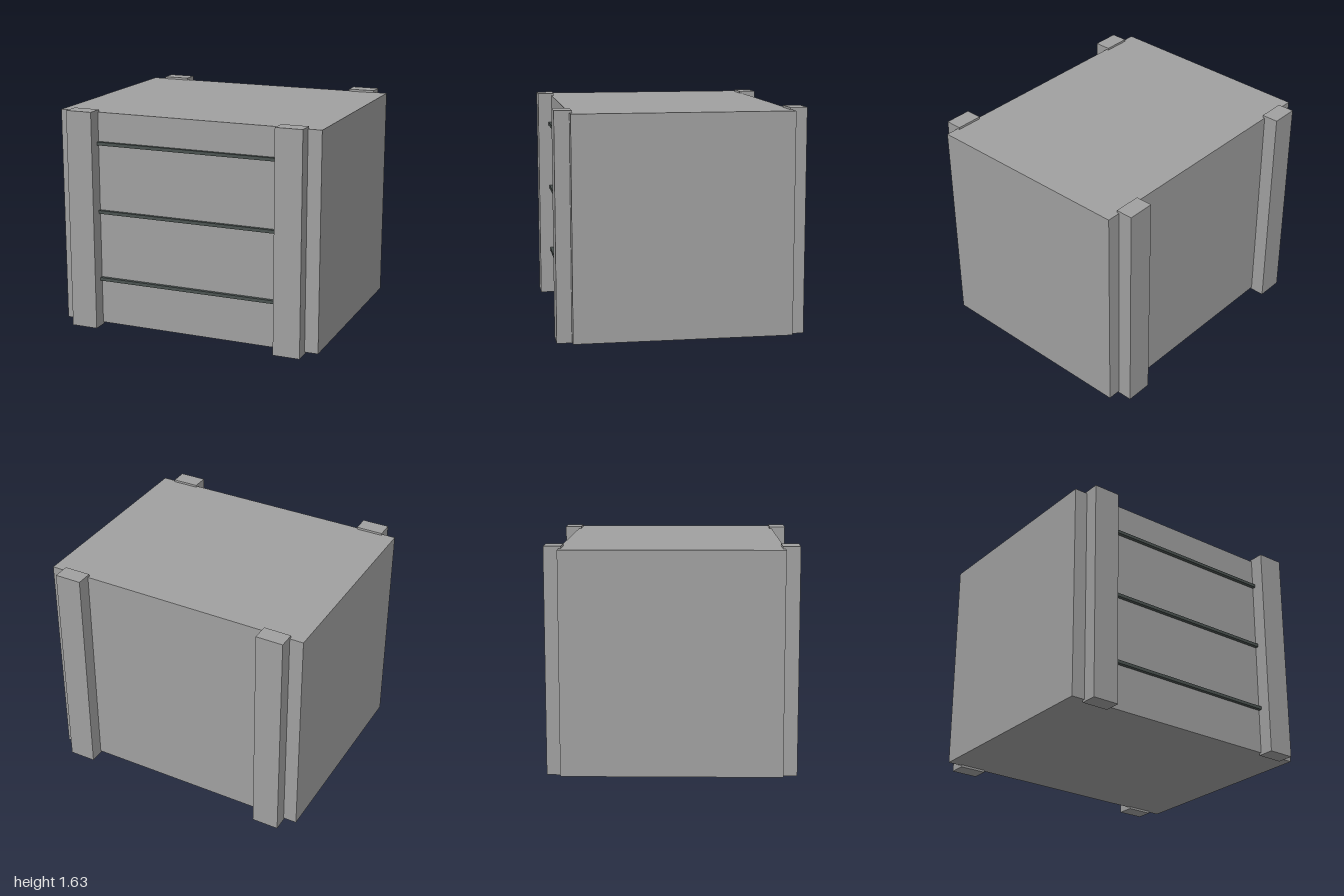
import * as THREE from 'three';

export function createModel() {
  const group = new THREE.Group();
  const grey = new THREE.MeshStandardMaterial({ color: 0xa0a0a0 });
  grey.name = 'grey';
  const darkGrey = new THREE.MeshStandardMaterial({ color: 0x4a5250 });
  darkGrey.name = 'darkGrey';

  function box(name, material, size, position) {
    const mesh = new THREE.Mesh(new THREE.BoxGeometry(...size), material);
    mesh.name = name;
    mesh.position.set(...position);
    group.add(mesh);
  }

  // main crate body, raised slightly off the ground
  box('body', grey, [2, 1.6, 1.568], [0, 0.816, 0]);

  // four corner posts, set slightly into the front and back faces
  for (const [end, z] of [['front', 0.828], ['back', -0.828]]) {
    for (const [side, x] of [['Left', 0.8], ['Right', -0.8]]) {
      box(`${end}${side}Post`, grey, [0.2, 1.632, 0.124], [x, 0.816, z]);
    }
  }

  // thin dark rails between the front posts
  [0.362, 0.877, 1.389].forEach((y, i) => {
    box(`frontRail${i + 1}`, darkGrey, [1.4, 0.024, 0.03], [0, y, 0.795]);
  });

  return group;
}
